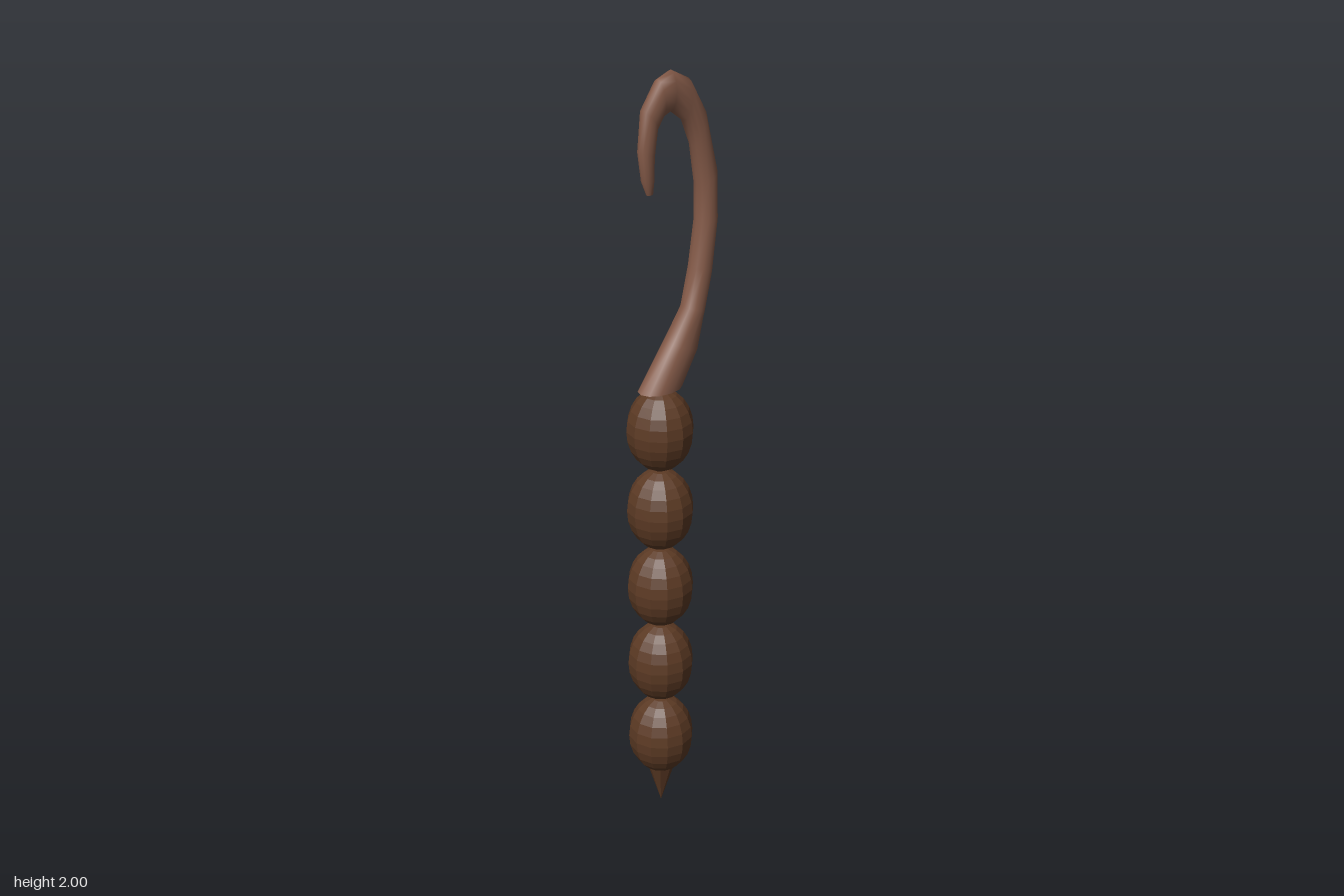
import * as THREE from 'three';

// Tapered hook lofted through rings: [outer z, outer y, inner z, inner y, half width]
function hookGeometry(rings, sides) {
  const pos = [], index = [];
  for (const [oz, oy, iz, iy, w] of rings) {
    for (let j = 0; j < sides; j++) {
      const a = (j / sides) * Math.PI * 2, c = Math.cos(a) / 2;
      pos.push(Math.sin(a) * w, (oy + iy) / 2 + (oy - iy) * c, (oz + iz) / 2 + (oz - iz) * c);
    }
  }
  for (let i = 0; i < rings.length - 1; i++) {
    for (let j = 0; j < sides; j++) {
      const k = (j + 1) % sides, a = i * sides + j, b = i * sides + k;
      index.push(a, a + sides, b, b, a + sides, b + sides);
    }
  }
  // end caps with their own vertices
  for (const [ring, flip] of [[0, false], [rings.length - 1, true]]) {
    const base = pos.length / 3;
    for (let j = 0; j < sides * 3; j++) pos.push(pos[ring * sides * 3 + j]);
    for (let j = 1; j < sides - 1; j++) {
      if (flip) index.push(base, base + j + 1, base + j);
      else index.push(base, base + j, base + j + 1);
    }
  }
  const g = new THREE.BufferGeometry();
  g.setAttribute('position', new THREE.Float32BufferAttribute(pos, 3));
  g.setIndex(index);
  g.computeVertexNormals();
  return g;
}

export function createModel() {
  const model = new THREE.Group();
  const darkWood = new THREE.MeshStandardMaterial({ color: 0x5c3a24, flatShading: true });
  darkWood.name = 'dark brown';
  const hookBrown = new THREE.MeshStandardMaterial({ color: 0x845a48, side: THREE.DoubleSide });
  hookBrown.name = 'light brown';
  const axisZ = 0.05;

  // Stack of five egg-shaped beads
  const beadGeometry = new THREE.SphereGeometry(1, 12, 12).scale(0.086, 0.11, 0.086);
  for (let i = 0; i < 5; i++) {
    const bead = new THREE.Mesh(beadGeometry, darkWood);
    bead.name = 'bead' + (i + 1);
    bead.position.set(0, 0.21 + i * 0.22, axisZ);
    model.add(bead);
  }

  // Spike under the lowest bead
  const spike = new THREE.Mesh(new THREE.ConeGeometry(0.042, 0.13, 8), darkWood);
  spike.name = 'spike';
  spike.rotation.x = Math.PI;
  spike.position.set(0, 0.065, axisZ);
  model.add(spike);

  // Curved hook rising from the top bead
  const rings = [
    [-0.015, 1.2, 0.113, 1.2, 0.043],
    [-0.066, 1.278, 0.03, 1.315, 0.036],
    [-0.09, 1.375, -0.03, 1.395, 0.032],
    [-0.114, 1.474, -0.055, 1.495, 0.032],
    [-0.133, 1.61, -0.072, 1.605, 0.031],
    [-0.131, 1.73, -0.072, 1.7, 0.03],
    [-0.093, 1.887, -0.055, 1.8, 0.026],
    [-0.045, 1.97, -0.027, 1.868, 0.024],
    [0.013, 2.0, 0.015, 1.9, 0.024],
    [0.055, 1.985, 0.042, 1.89, 0.023],
    [0.103, 1.918, 0.06, 1.865, 0.022],
    [0.114, 1.818, 0.07, 1.8, 0.02],
    [0.104, 1.744, 0.07, 1.745, 0.016],
    [0.09, 1.708, 0.072, 1.71, 0.008],
  ];
  const hook = new THREE.Mesh(hookGeometry(rings, 12), hookBrown);
  hook.name = 'hook';
  model.add(hook);

  return model;
}
